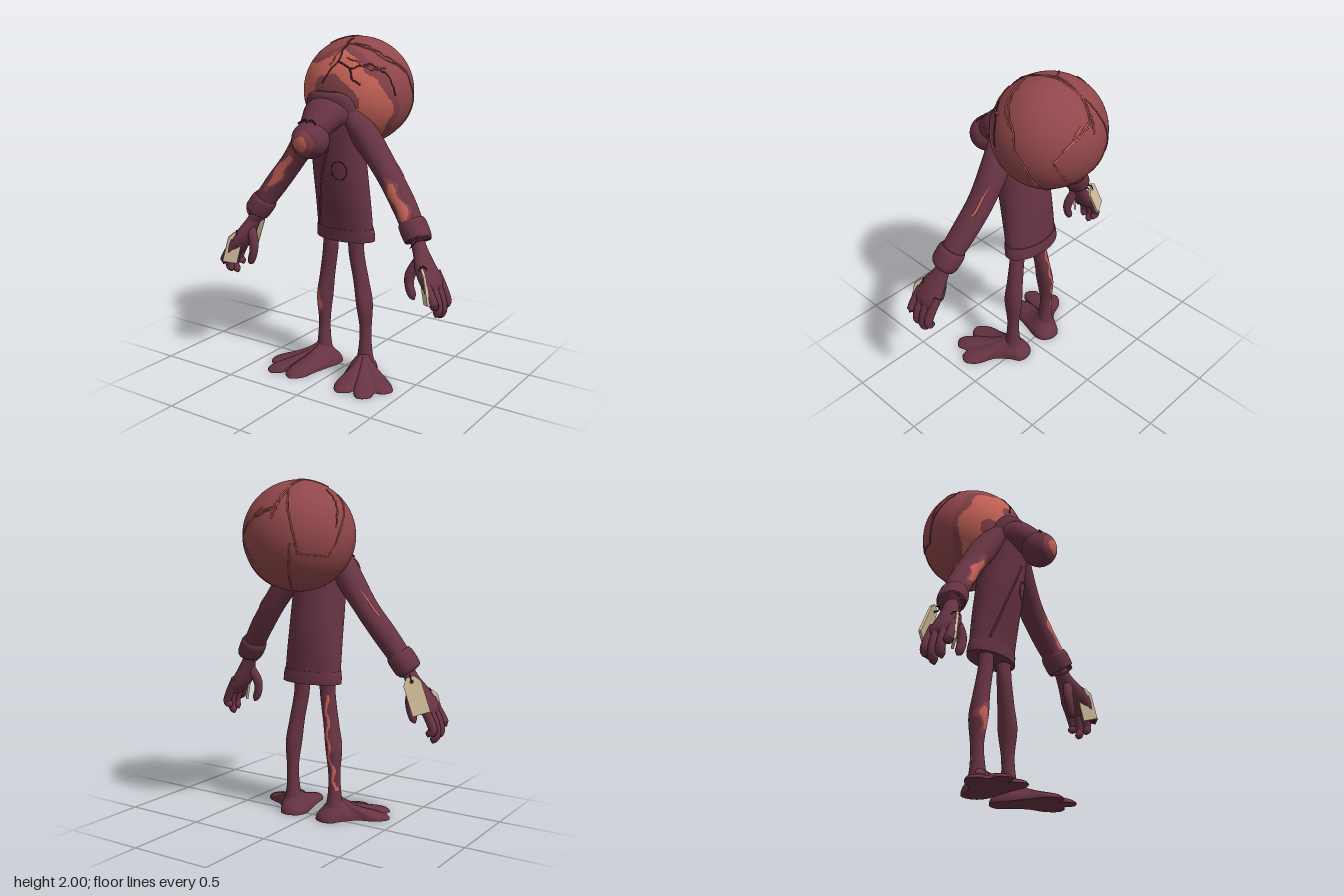
import * as THREE from 'three';

const V = (x, y, z) => new THREE.Vector3(x, y, z);
const mat = (name, color, side = THREE.FrontSide) => {
  const m = new THREE.MeshStandardMaterial({ color, side });
  m.name = name;
  return m;
};

// Skin closed rings of points; ring order is counter-clockwise about the travel direction
function skin(rings) {
  const n = rings[0].length, pos = [], idx = [];
  rings.forEach(r => r.forEach(p => pos.push(p.x, p.y, p.z)));
  for (let i = 0; i < rings.length - 1; i++) for (let j = 0; j < n; j++) {
    const a = i * n + j, b = i * n + (j + 1) % n;
    idx.push(a, b, b + n, a, b + n, a + n);
  }
  const g = new THREE.BufferGeometry();
  g.setAttribute('position', new THREE.Float32BufferAttribute(pos, 3));
  g.setIndex(idx);
  g.computeVertexNormals();
  return g;
}

// Sweep an ellipse through stations [x, y, z, radiusA, radiusB], closed at both ends
function limb(pts, { steps = 32, sides = 24, tangent = null, ref = V(0, 0, 1) } = {}) {
  const path = new THREE.CatmullRomCurve3(pts.map(p => V(p[0], p[1], p[2])), false, 'catmullrom', 0.5);
  const radii = new THREE.CatmullRomCurve3(pts.map(p => V(p[3], p[4], 0)), false, 'catmullrom', 0.5);
  const rings = [];
  for (let i = 0; i <= steps; i++) {
    const c = path.getPoint(i / steps), r = radii.getPoint(i / steps);
    const t = tangent || path.getTangent(i / steps);
    const a = t.clone().cross(ref).normalize(), b = t.clone().cross(a).normalize();
    const ring = [];
    for (let j = 0; j < sides; j++) {
      const w = j / sides * Math.PI * 2;
      ring.push(c.clone().addScaledVector(a, Math.cos(w) * r.x).addScaledVector(b, Math.sin(w) * r.y));
    }
    const cap = ring.map(() => c.clone()), copy = ring.map(p => p.clone());
    if (i === 0) rings.push(cap, copy);
    rings.push(ring);
    if (i === steps) rings.push(copy, cap);
  }
  return skin(rings);
}

// Sort faces into material groups by the position of their centre
function paint(g, count, rule) {
  const src = g.index.array, p = g.attributes.position, buckets = Array.from({ length: count }, () => []);
  for (let i = 0; i < src.length; i += 3) {
    const c = V(0, 0, 0);
    for (let k = 0; k < 3; k++) c.add(new THREE.Vector3().fromBufferAttribute(p, src[i + k]));
    buckets[rule(c.divideScalar(3))].push(src[i], src[i + 1], src[i + 2]);
  }
  g.clearGroups();
  let start = 0;
  buckets.forEach((b, i) => { g.addGroup(start, b.length, i); start += b.length; });
  g.setIndex(buckets.flat());
  return g;
}

export function createModel() {
  const root = new THREE.Group();
  const body = mat('plum', 0x673343), skull = mat('brick', 0x91474b), stain = mat('dull red', 0x824047);
  const glow = mat('ember', 0xc56257), dark = mat('crack', 0x431d28), paper = mat('paper', 0xd6c2a0, THREE.DoubleSide);
  const painted = [body, stain, glow];
  const add = (name, geo, material, parent = root) => {
    const m = new THREE.Mesh(geo, material);
    m.name = name;
    parent.add(m);
    return m;
  };
  const line = (name, pts, r, material, parent) => add(name,
    new THREE.TubeGeometry(new THREE.CatmullRomCurve3(pts), pts.length * 5, r, 6), material, parent);

  // Great round head with ragged glowing face
  const R = 0.315, headAt = V(0, 1.685, -0.14);
  const headGeo = paint(new THREE.SphereGeometry(R, 144, 100), 3, p => {
    const d = p.clone().normalize();
    const w = 0.06 * Math.sin(d.x * 7 + 1) + 0.05 * Math.sin(d.y * 9 + d.x * 4) + 0.015 * Math.sin(d.x * 19);
    const k = 0.95 * d.z - 0.31 * d.y + w;
    return k > 0.8 ? 1 : k > 0.46 ? 2 : k > 0.33 ? 1 : 0;
  });
  headGeo.scale(1.035, 1, 1);
  add('head', headGeo, [skull, stain, glow]).position.copy(headAt);

  // Cracks drawn over the head as (u, v) paths on facing planes
  const planes = {
    front: [V(1, 0, 0), V(0, 1, 0)], side: [V(0, 0, -1), V(0, 1, 0)], top: [V(1, 0, 0), V(0, 0, -1)],
    back: [V(-0.707, 0, 0.707), V(0.3, 0.906, 0.3)], under: [V(-0.707, 0, -0.707), V(0.3, 0.906, -0.3)],
  };
  const cracks = [
    ['front', [[0.05, 0.96], [0.08, 0.6], [-0.1, 0.3], [-0.15, 0.2]]],
    ['front', [[0.07, 0.6], [0.33, 0.48], [0.6, 0.55], [0.85, 0.35], [0.95, 0]]],
    ['front', [[0.33, 0.48], [0.4, 0.3], [0.55, 0.2]]],
    ['side', [[-0.4, 0.9], [-0.25, 0.67], [0.1, 0.4], [0.17, 0.15], [0.38, -0.17], [0.35, -0.9]]],
    ['side', [[0.85, 0.5], [0.75, 0], [0.75, -0.6]]],
    ['side', [[-0.72, 0.66], [-0.62, 0.45], [-0.37, 0.48]]],
    ['top', [[-0.05, 0.95], [-0.12, 0.82], [-0.15, 0.37], [-0.13, 0.05], [-0.46, -0.23]]],
    ['top', [[-0.13, 0.05], [0, -0.14], [0.05, -0.5], [-0.05, -0.85]]],
    ['top', [[-0.12, 0.82], [0.48, 0.85]]],
    ['top', [[-0.94, 0.3], [-0.8, 0.08], [-0.59, 0.05]]],
    ['top', [[0.08, -0.46], [0.72, -0.3], [0.93, 0.1]]],
    ['back', [[-0.96, 0.1], [-0.6, 0.15], [-0.28, 0.55], [0.15, 0.95]]],
    ['back', [[-0.28, 0.55], [-0.36, 0.1], [-0.3, -0.35], [-0.22, -0.65], [0.33, -0.68], [0.52, -0.28], [0.67, 0.28], [0.6, 0.5]]],
    ['under', [[0.93, 0.05], [0.65, -0.5], [0.2, -0.82]]],
  ];
  cracks.forEach(([plane, uv]) => {
    const [r, u] = planes[plane], c = r.clone().cross(u);
    const dirs = uv.map(([x, y]) => V(0, 0, 0).addScaledVector(r, x).addScaledVector(u, y)
      .addScaledVector(c, Math.sqrt(Math.max(0, 1 - x * x - y * y))).normalize());
    const path = k => {
      const out = [];
      for (let i = 0; i < dirs.length - 1; i++) for (let s = i ? 1 : 0; s <= 5; s++) {
        const d = dirs[i].clone().lerp(dirs[i + 1], s / 5);
        d.addScaledVector(c.clone().cross(d), 0.02 * Math.sin(s * 2.5 + i * 2)).normalize();
        out.push(V(d.x * R * 1.035 * k, d.y * R * k, d.z * R * k).add(headAt));
      }
      return out;
    };
    line('headCrack', path(0.996), 0.0055, dark);
    if (plane !== 'front') line('headCrackGlow', path(1.003), 0.0045, glow);
  });

  // Coat: upright elliptical sections leaning forward to the collar
  const coat = [
    [0, 0.84, -0.005, 0.184, 0.098], [0, 0.96, 0.01, 0.182, 0.107], [0, 1.1, 0.03, 0.175, 0.122],
    [0, 1.25, 0.055, 0.17, 0.13], [0, 1.4, 0.078, 0.165, 0.128], [0, 1.53, 0.105, 0.163, 0.118],
    [0, 1.63, 0.14, 0.155, 0.095], [0, 1.69, 0.175, 0.125, 0.058], [0, 1.71, 0.19, 0.08, 0.025]];
  const up = V(0, 1, 0);
  add('coat', limb(coat, { steps: 48, sides: 48, tangent: up }), body);
  add('coatHem', limb([[0, 0.825, -0.006, 0.194, 0.106], [0, 0.86, -0.003, 0.194, 0.107], [0, 0.9, 0.002, 0.187, 0.106]],
    { steps: 6, sides: 48, tangent: up }), body);
  const coatZ = (x, y) => {
    const i = Math.max(0, coat.findIndex(s => s[1] > y) - 1), a = coat[i], b = coat[i + 1];
    const m = k => THREE.MathUtils.lerp(a[k], b[k], (y - a[1]) / (b[1] - a[1]));
    return m(2) + m(4) * Math.sqrt(1 - (x / m(3)) ** 2);
  };
  const onCoat = (x, y) => V(x, y, coatZ(x, y));
  line('coatSeam', [[0.02, 1.4], [-0.03, 1.27], [-0.07, 1.14], [-0.1, 1.02], [-0.13, 0.91]].map(p => onCoat(...p)), 0.006, body);
  const oval = Array.from({ length: 20 }, (_, i) => i / 20 * Math.PI * 2)
    .map(w => onCoat(0.07 + 0.042 * Math.cos(w), 1.265 + 0.055 * Math.sin(w)));
  add('buttonRim', new THREE.TubeGeometry(new THREE.CatmullRomCurve3(oval, true), 40, 0.003, 6, true), dark);

  // Broad drooping cowl and bulb nose
  add('cowl', limb([[0, 1.57, 0.12, 0.15, 0.1], [0, 1.585, 0.2, 0.135, 0.1], [0, 1.545, 0.27, 0.105, 0.085],
    [0, 1.495, 0.32, 0.08, 0.08]], { ref: V(0, 1, 0.3) }), body);
  const nose = paint(new THREE.SphereGeometry(0.105, 64, 48), 3, p => {
    const k = p.z / 0.105 - 0.12 * p.y / 0.105 + 0.02 * Math.sin(p.x * 90);
    return k > 0.92 ? 2 : k > 0.72 ? 1 : 0;
  });
  add('nose', nose, painted).position.set(0, 1.46, 0.345);
  line('noseFold', [V(-0.06, 1.55, 0.375), V(-0.02, 1.573, 0.365), V(0, 1.56, 0.378), V(0.02, 1.573, 0.365), V(0.06, 1.55, 0.375)], 0.005, dark);

  // Paper tag with clipped corners and a hole
  function tag(name, at, upDir, normal, w, h) {
    const s = new THREE.Shape();
    [[-w, -h / 2], [w, -h / 2], [w, h / 2 - 0.04], [w - 0.03, h / 2], [0.03 - w, h / 2], [-w, h / 2 - 0.04]]
      .forEach(([x, y], i) => i ? s.lineTo(x, y) : s.moveTo(x, y));
    s.holes.push(new THREE.Path().absarc(0, h / 2 - 0.03, 0.01, 0, Math.PI * 2, true));
    const g = new THREE.ExtrudeGeometry(s, { depth: 0.014, bevelEnabled: false, curveSegments: 10 });
    const y = upDir.normalize(), x = y.clone().cross(normal).normalize(), z = x.clone().cross(y);
    const frame = new THREE.Matrix4().makeBasis(x, y, z).setPosition(at);
    add(name, g.applyMatrix4(frame), paper);
    const loop = new THREE.TorusGeometry(0.02, 0.004, 6, 20).rotateY(Math.PI / 2);
    add('tagString', loop.translate(0, h / 2 - 0.01, 0).applyMatrix4(frame), dark);
  }

  for (const s of [1, -1]) {
    const side = new THREE.Group();
    side.name = s > 0 ? 'leftLimbs' : 'rightLimbs';
    root.add(side);
    const flip = pts => pts.map(p => [p[0] * s, ...p.slice(1)]);
    const part = (name, pts, opt) => add(name, limb(flip(pts), opt), body, side);

    // Sleeve with a glowing tear
    const [tx, ty] = s > 0 ? [0.455, 1.12] : [0.37, 1.21];
    const sleeve = paint(limb(flip([[0.08, 1.61, 0.13, 0.06, 0.07], [0.19, 1.46, 0.08, 0.078, 0.085],
      [0.32, 1.28, 0.07, 0.066, 0.08], [0.44, 1.12, 0.09, 0.068, 0.075], [0.53, 0.99, 0.12, 0.062, 0.07]]),
    { steps: 90, sides: 56 }), 3, p => {
      const x = p.x * s - tx, y = p.y - ty, along = (x * 0.6 - y * 0.8) / 0.14;
      const across = (x * 0.8 + y * 0.6 + 0.009 * Math.sin(p.y * 50)) / 0.03;
      const k = along * along + across * across;
      return p.z < 0.08 || k > 1.5 ? 0 : k > 0.85 ? 1 : 2;
    });
    add('sleeve', sleeve, painted, side);
    line('sleeveCrack', [[0.225, 1.49, 0.04], [0.29, 1.4, 0.02], [0.35, 1.325, 0.03], [0.405, 1.255, 0.035], [0.45, 1.185, 0.08], [0.5, 1.1, 0.11]]
      .map(p => V(p[0] * s, p[1], p[2])), 0.009, glow, side);
    part('cuff', [[0.51, 1.025, 0.112, 0.07, 0.076], [0.525, 1, 0.117, 0.078, 0.085], [0.565, 0.94, 0.13, 0.076, 0.083],
      [0.57, 0.932, 0.132, 0.066, 0.07]], { steps: 18 });

    // Hand, four fingers and thumb
    part('palm', [[0.53, 0.99, 0.125, 0.038, 0.04], [0.585, 0.88, 0.14, 0.038, 0.05], [0.64, 0.78, 0.165, 0.046, 0.085],
      [0.685, 0.71, 0.172, 0.04, 0.095], [0.705, 0.66, 0.175, 0.02, 0.07]], { steps: 24 });
    [[0.252, 0.6], [0.203, 0.535], [0.152, 0.515], [0.104, 0.56]].forEach(([z, y], i) =>
      part('finger', [[0.665, 0.76, z - 0.012, 0.022, 0.024], [0.72, 0.66, z, 0.026, 0.027],
        [0.742, (0.65 + y) / 2 - 0.005, z + 0.002, 0.025, 0.026], [0.738 - i * 0.006, y + 0.02, z, 0.022, 0.023],
        [0.73 - i * 0.006, y, z, 0.004, 0.004]], { steps: 16, sides: 14 }));
    part('thumb', [[0.6, 0.84, 0.16, 0.03, 0.03], [0.557, 0.755, 0.185, 0.03, 0.03], [0.552, 0.69, 0.195, 0.026, 0.026],
      [0.572, 0.63, 0.195, 0.023, 0.023], [0.585, 0.605, 0.193, 0.004, 0.004]], { steps: 16, sides: 14 });
    tag('palmTag', V(0.678 * s, 0.71, 0.24), V(-0.05 * s, 0.2, -0.02), V(-0.72 * s, 0, 0.69), 0.044, 0.2);

    // Knobbly leg, the right one torn
    const leg = paint(limb(flip([[0.09, 0.88, 0.02, 0.05, 0.042], [0.093, 0.75, 0.022, 0.048, 0.042], [0.122, 0.58, 0.014, 0.044, 0.052],
      [0.143, 0.44, 0.01, 0.044, 0.062], [0.15, 0.28, 0.006, 0.034, 0.041], [0.15, 0.15, 0.01, 0.04, 0.045],
      [0.15, 0.05, 0.01, 0.06, 0.06]]), { steps: 80, sides: 48, tangent: V(0, -1, 0) }), 3, p => {
      if (s > 0) return 0;
      const wob = 0.008 * Math.sin(p.y * 45);
      const k = ((p.x + 0.155 + wob) / 0.022) ** 2 + ((p.y - 0.42) / 0.075) ** 2;
      if (p.z > 0) return k > 1.6 ? 0 : k > 0.8 ? 1 : 2;
      return p.y > 0.18 && p.y < 0.75 && Math.abs(p.x + 0.15 + wob - (p.y - 0.4) * 0.12) < 0.008 ? 2 : 0;
    });
    add('leg', leg, painted, side);

    // Flat three-toed foot, round at the ankle and lobed at the rim
    const outline = [[0.095, 0.2], [0.112, 0.29], [0.17, 0.345], [0.23, 0.31], [0.245, 0.265], [0.262, 0.31], [0.315, 0.345],
      [0.37, 0.3], [0.36, 0.235], [0.405, 0.22], [0.434, 0.165], [0.39, 0.1], [0.28, 0.05], [0.21, -0.03],
      [0.18, -0.08], [0.12, -0.092], [0.06, -0.06], [0.045, 0], [0.07, 0.1]].map(p => V(p[0] * s, 0, p[1]));
    if (s > 0) outline.reverse();
    const edge = new THREE.CatmullRomCurve3(outline, true).getPoints(96).slice(0, 96), mid = V(0.15 * s, 0, 0.02);
    const ring = (k, y) => edge.map(p => {
      const d = p.clone().sub(mid), round = d.clone().setLength(0.16);
      return mid.clone().addScaledVector(round, k * (1 - k)).addScaledVector(d, k * k).setY(y);
    });
    const rings = [];
    for (let i = 0; i <= 20; i++) {
      const k = Math.sin(i / 20 * Math.PI / 2);
      rings.push(ring(k, 0.042 * Math.sqrt(Math.max(0, 1 - k ** 6)) + 0.13 * (1 - k) ** 1.8));
    }
    rings.push(ring(1, 0), ring(0, 0));
    add('foot', skin(rings), body, side);
  }

  // Second tag hanging behind the right wrist
  tag('wristTag', V(-0.655, 0.8, 0.06), V(0.1, 0.24, 0.02), V(-0.35, 0.3, -0.9), 0.052, 0.22);
  return root;
}
